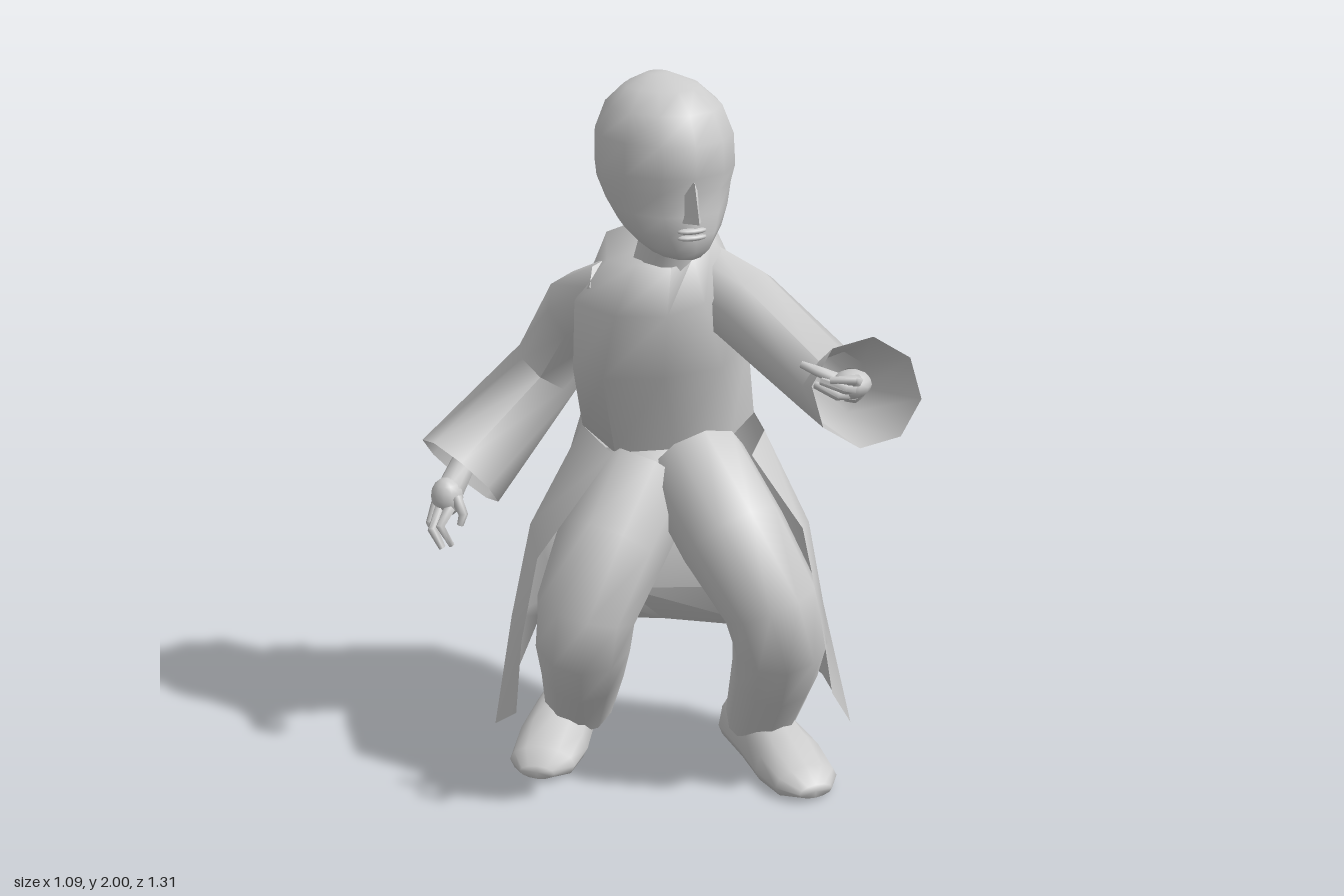
import * as THREE from 'three';
import { toCreasedNormals } from 'three/addons/utils/BufferGeometryUtils.js';

const material = new THREE.MeshStandardMaterial({ color: 0xcccccc, side: THREE.DoubleSide });
const V = (p) => new THREE.Vector3(...p);

// Skin a list of cross-sections (bottom to top, points counter-clockwise).
function loft(name, rings, { closed = true, start = false, end = false } = {}) {
  const n = rings[0].length, pos = rings.flat(2), idx = [];
  for (let i = 0; i < rings.length - 1; i++) {
    for (let j = 0; j < (closed ? n : n - 1); j++) {
      const k = (j + 1) % n, a = i * n + j, b = i * n + k;
      idx.push(a, b, b + n, a, b + n, a + n);
    }
  }
  const cap = (r, flip) => {
    const c = pos.length / 3;
    for (let d = 0; d < 3; d++) pos.push(rings[r].reduce((s, p) => s + p[d], 0) / n);
    for (let j = 0; j < n; j++) {
      const a = r * n + j, b = r * n + (j + 1) % n;
      idx.push(c, ...(flip ? [b, a] : [a, b]));
    }
  };
  if (start) cap(0, true);
  if (end) cap(rings.length - 1, false);
  const g = new THREE.BufferGeometry();
  g.setAttribute('position', new THREE.Float32BufferAttribute(pos, 3));
  g.setIndex(idx);
  const mesh = new THREE.Mesh(toCreasedNormals(g, 1.4), material);
  mesh.name = name;
  return mesh;
}

// Limb through [x, y, z, radius] stations, mitred at each joint, without twist.
function limb(name, stations, sides = 10, opts = {}) {
  const pts = stations.map((s) => V(s.slice(0, 3)));
  const u = new THREE.Vector3(1, 0.2, 0.3);
  const rings = stations.map((s, i) => {
    const t = new THREE.Vector3();
    if (i > 0) t.add(pts[i].clone().sub(pts[i - 1]).normalize());
    if (i < pts.length - 1) t.add(pts[i + 1].clone().sub(pts[i]).normalize());
    t.normalize();
    u.addScaledVector(t, -u.dot(t)).normalize();
    const v = t.clone().cross(u);
    return Array.from({ length: sides }, (_, j) => {
      const a = (j / sides) * Math.PI * 2;
      return pts[i].clone().addScaledVector(u, s[3] * Math.cos(a)).addScaledVector(v, s[3] * Math.sin(a)).toArray();
    });
  });
  return loft(name, rings, opts);
}

function ellipsoid(name, center, radii) {
  const m = new THREE.Mesh(new THREE.SphereGeometry(1, 12, 8), material);
  m.name = name;
  m.position.set(...center);
  m.scale.set(...radii);
  return m;
}

// Shoe: flat-soled sections from heel to toe, along local z.
function shoe(name, x, z, turn) {
  const sections = [[-0.25, 0.04, 0.09], [-0.21, 0.085, 0.15], [-0.06, 0.09, 0.16], [0.08, 0.105, 0.12], [0.19, 0.095, 0.08], [0.25, 0.05, 0.05]];
  const rings = sections.map(([s, w, h]) => Array.from({ length: 12 }, (_, j) => {
    const a = (j / 12) * Math.PI * 2;
    return [w * Math.cos(a), Math.max(0, 0.03 + (h - 0.03) * Math.sin(a)), s];
  }));
  const m = loft(name, rings, { start: true, end: true });
  m.position.set(x, 0, z);
  m.rotation.y = turn;
  return m;
}

// Hand: a palm and curled fingers given as [base, knuckle, tip].
function hand(name, wrist, palm, radii, fingers) {
  const g = new THREE.Group();
  g.name = name;
  g.add(limb('wrist', [[...wrist, 0.035], [...palm, 0.04]], 8), ellipsoid('palm', palm, radii));
  for (const f of fingers) {
    g.add(limb('finger', f.map((p, i) => [...p, 0.017 - i * 0.004]), 6, { start: true, end: true }));
  }
  return g;
}

function head() {
  const g = new THREE.Group();
  g.name = 'head';
  // y, half width, front z, back z
  const profile = [
    [1.565, 0.06, 0.075, -0.15], [1.59, 0.09, 0.1, -0.2], [1.63, 0.125, 0.098, -0.235], [1.68, 0.15, 0.095, -0.27],
    [1.735, 0.168, 0.085, -0.298], [1.78, 0.175, 0.102, -0.3], [1.86, 0.172, 0.095, -0.3], [1.93, 0.145, 0.06, -0.27],
    [1.975, 0.095, -0.01, -0.22], [2, 0.03, -0.11, -0.17],
  ];
  const rings = profile.map(([y, w, f, b]) => Array.from({ length: 12 }, (_, j) => {
    const a = (j / 12) * Math.PI * 2;
    return [0.03 + w * Math.sin(a), y, (f + b) / 2 + ((f - b) / 2) * Math.cos(a)];
  }));
  g.add(loft('skull', rings, { start: true, end: true }));
  g.add(loft('nose', [
    [[-0.01, 1.665, 0.07], [0.025, 1.67, 0.13], [0.06, 1.665, 0.07]],
    [[-0.003, 1.69, 0.07], [0.025, 1.69, 0.125], [0.053, 1.69, 0.07]],
    [[0.005, 1.77, 0.07], [0.025, 1.77, 0.1], [0.045, 1.77, 0.07]],
  ], { start: true, end: true }));
  for (const y of [1.628, 1.645]) g.add(ellipsoid('lip', [0.025, y, 0.086], [0.04, 0.009, 0.018]));
  g.add(limb('neck', [[0.03, 1.46, -0.12, 0.09], [0.03, 1.6, -0.07, 0.075]], 10));
  return g;
}

export function createModel() {
  const model = new THREE.Group();
  model.name = 'robedFigure';
  model.add(head());

  // Torso rings: front, then round by the left side and the back.
  model.add(loft('torso', [
    [[0.1, 0.95, -0.19], [0.26, 0.97, -0.17], [0.36, 1, -0.24], [0.27, 1.06, -0.49], [0.1, 1.06, -0.56], [-0.04, 1.04, -0.48], [-0.11, 1, -0.34], [-0.06, 0.95, -0.23]],
    [[0.02, 1.2, -0.08], [0.2, 1.2, -0.1], [0.33, 1.22, -0.22], [0.25, 1.27, -0.41], [0.08, 1.28, -0.465], [-0.08, 1.27, -0.41], [-0.17, 1.2, -0.25], [-0.13, 1.2, -0.14]],
    [[-0.01, 1.4, 0.01], [0.1, 1.42, 0], [0.26, 1.42, -0.12], [0.235, 1.48, -0.3], [0.08, 1.49, -0.37], [-0.07, 1.47, -0.33], [-0.19, 1.41, -0.18], [-0.13, 1.4, -0.05]],
    [[0.01, 1.52, -0.01], [0.08, 1.54, -0.03], [0.17, 1.56, -0.11], [0.23, 1.57, -0.25], [0.08, 1.56, -0.35], [-0.05, 1.55, -0.3], [-0.11, 1.52, -0.15], [-0.07, 1.53, -0.05]],
  ], { start: true, end: true }));

  // Coat skirt: open in front, pinched behind the knees, flaring at the hem.
  model.add(loft('coatSkirt', [
    [[0.37, 0.36, 0.25], [0.51, 0.17, 0.1], [0.54, 0.21, -0.08], [0.43, 0.32, -0.26], [0.18, 0.31, -0.46], [-0.15, 0.32, -0.6], [-0.38, 0.13, -0.36], [-0.38, 0.25, -0.18]],
    [[0.33, 0.6, 0.245], [0.43, 0.54, 0.07], [0.34, 0.54, -0.06], [0.2, 0.52, -0.19], [-0.01, 0.51, -0.3], [-0.17, 0.51, -0.36], [-0.34, 0.48, -0.31], [-0.37, 0.48, -0.15]],
    [[0.28, 0.85, 0.23], [0.39, 0.78, 0.05], [0.39, 0.78, -0.14], [0.28, 0.8, -0.34], [0.06, 0.8, -0.45], [-0.14, 0.8, -0.44], [-0.29, 0.76, -0.28], [-0.33, 0.73, -0.12]],
    [[0.25, 0.97, -0.02], [0.34, 0.99, -0.13], [0.37, 1.03, -0.34], [0.27, 1.06, -0.49], [0.1, 1.06, -0.56], [-0.04, 1.04, -0.48], [-0.11, 1, -0.34], [-0.08, 0.96, -0.2]],
  ], { closed: false }));

  // Trousers and shoes
  model.add(ellipsoid('pelvis', [0.11, 0.84, -0.26], [0.2, 0.13, 0.14]));
  model.add(limb('leftLeg', [[0.17, 0.88, -0.22, 0.15], [0.19, 0.75, 0, 0.15], [0.245, 0.6, 0.12, 0.135], [0.28, 0.48, 0.11, 0.13], [0.32, 0.33, 0, 0.12], [0.36, 0.09, -0.17, 0.1]]));
  model.add(limb('rightLeg', [[0.04, 0.85, -0.28, 0.16], [-0.09, 0.7, -0.19, 0.155], [-0.19, 0.55, -0.13, 0.14], [-0.19, 0.46, -0.15, 0.135], [-0.15, 0.32, -0.26, 0.12], [-0.09, 0.1, -0.45, 0.1]]));
  model.add(shoe('leftShoe', 0.36, -0.06, 0));
  model.add(shoe('rightShoe', -0.165, -0.42, -0.62));

  // Sleeves, open at the cuffs
  model.add(limb('leftSleeve', [[0.16, 1.44, -0.17, 0.1], [0.24, 1.38, -0.06, 0.11], [0.385, 1.21, 0.18, 0.1], [0.265, 1.345, 0.58, 0.135]], 8, { start: true }));
  model.add(limb('rightSleeve', [[-0.08, 1.44, -0.17, 0.08], [-0.12, 1.35, -0.3, 0.105], [-0.13, 1.11, -0.54, 0.1], [-0.42, 0.865, -0.475, 0.135]], 8, { start: true }));

  model.add(hand('leftHand', [0.29, 1.31, 0.46], [0.22, 1.375, 0.585], [0.05, 0.035, 0.045], [
    [[0.22, 1.39, 0.61], [0.19, 1.41, 0.65], [0.145, 1.405, 0.62]],
    [[0.21, 1.375, 0.61], [0.17, 1.39, 0.645], [0.13, 1.4, 0.6]],
    [[0.2, 1.36, 0.6], [0.16, 1.37, 0.63], [0.125, 1.385, 0.58]],
    [[0.2, 1.38, 0.56], [0.14, 1.41, 0.55], [0.115, 1.42, 0.525]],
  ]));
  model.add(hand('rightHand', [-0.4, 0.9, -0.48], [-0.475, 0.815, -0.43], [0.045, 0.055, 0.045], [
    [[-0.5, 0.8, -0.44], [-0.535, 0.76, -0.4], [-0.51, 0.69, -0.38]],
    [[-0.5, 0.79, -0.42], [-0.54, 0.75, -0.37], [-0.52, 0.7, -0.35]],
    [[-0.48, 0.79, -0.4], [-0.52, 0.76, -0.36], [-0.49, 0.7, -0.36]],
    [[-0.46, 0.82, -0.4], [-0.45, 0.78, -0.37], [-0.46, 0.75, -0.37]],
  ]));
  return model;
}
